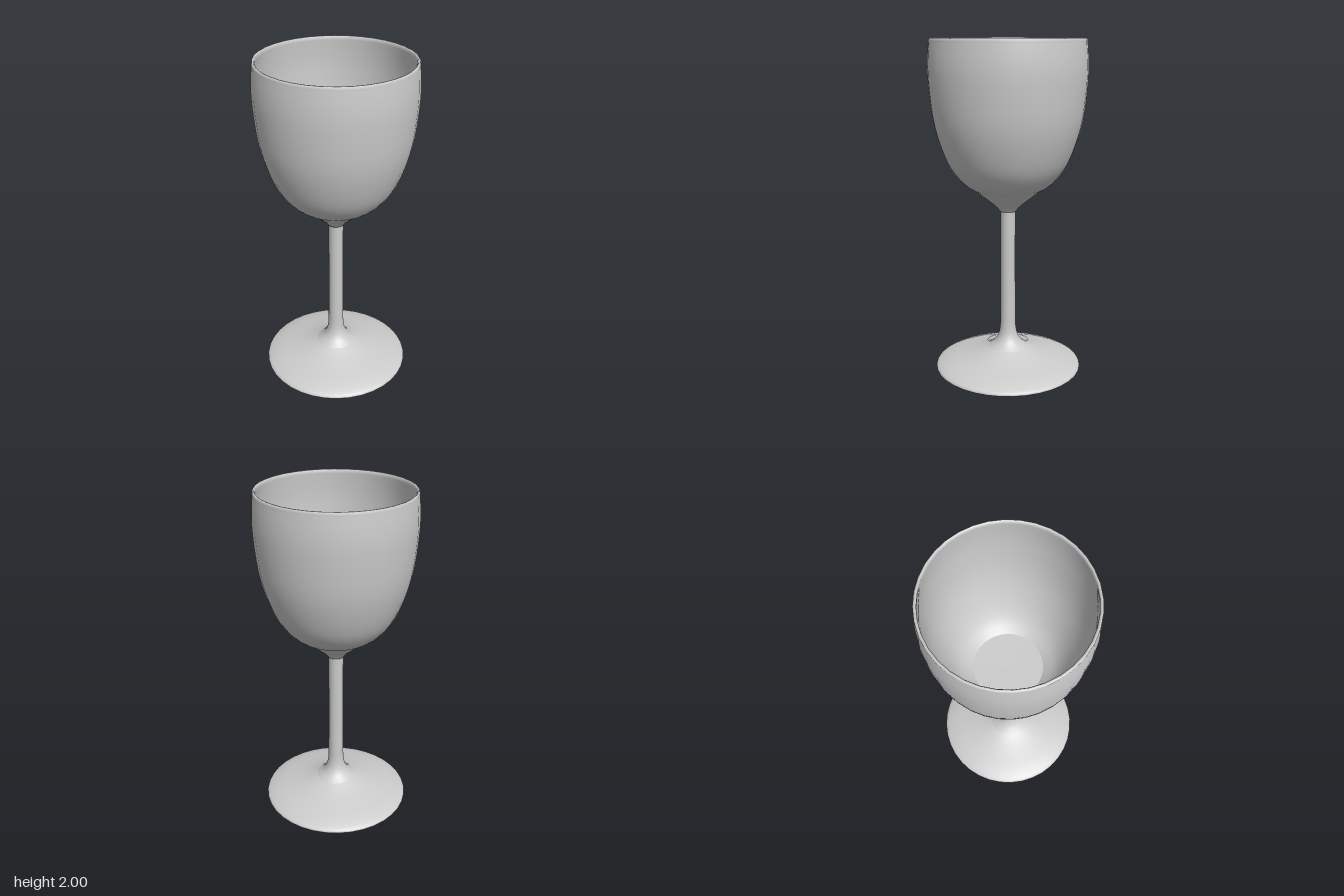
import * as THREE from 'three';

const SEGMENTS = 36;
const vec = ([x, y]) => new THREE.Vector2(x, y);

// Smooth run of profile points through a few control points
const smooth = (points, divisions) => new THREE.SplineCurve(points.map(vec)).getPoints(divisions);

// Lathe one or more profile runs; a crease is kept between runs
function addTurned(group, name, runs, material) {
  const part = new THREE.Group();
  part.name = name;
  for (const run of runs) {
    const mesh = new THREE.Mesh(new THREE.LatheGeometry(run, SEGMENTS), material);
    mesh.name = name + 'Surface';
    part.add(mesh);
  }
  group.add(part);
}

export function createModel() {
  const goblet = new THREE.Group();
  goblet.name = 'goblet';
  const material = new THREE.MeshStandardMaterial({ color: 0xcccccc, side: THREE.DoubleSide });

  // Bowl: outer wall, rounded lip, inner wall and flat inner floor
  const outer = smooth([
    [0.2, 1.135], [0.235, 1.155], [0.285, 1.2], [0.342, 1.28], [0.39, 1.395],
    [0.425, 1.52], [0.444, 1.65], [0.455, 1.8], [0.453, 1.9], [0.446, 1.98],
  ], 28);
  const lip = [[0.446, 1.98], [0.446, 1.992], [0.441, 2], [0.434, 2], [0.429, 1.992], [0.429, 1.98]].map(vec);
  const inner = smooth([
    [0.429, 1.98], [0.434, 1.9], [0.435, 1.8], [0.425, 1.65], [0.405, 1.52],
    [0.37, 1.4], [0.32, 1.285], [0.265, 1.205], [0.2, 1.155],
  ], 24);
  addTurned(goblet, 'bowl', [outer, lip, inner, [[0.2, 1.155], [0, 1.15]].map(vec)], material);

  // Stem: flares into the bowl above and the foot below
  const stem = [
    ...smooth([[0.12, 0.152], [0.085, 0.18], [0.062, 0.215], [0.05, 0.26], [0.046, 0.32]], 12),
    ...smooth([[0.044, 0.6], [0.044, 0.97], [0.05, 1.005], [0.075, 1.035], [0.13, 1.08], [0.2, 1.135]], 16),
  ];
  addTurned(goblet, 'stem', [stem], material);

  // Foot: sloping disc with a rounded edge and flat underside
  const foot = smooth([
    [0.33, 0.005], [0.4, 0.012], [0.435, 0.024], [0.442, 0.036], [0.425, 0.052],
    [0.36, 0.077], [0.26, 0.103], [0.18, 0.127], [0.12, 0.152],
  ], 28);
  addTurned(goblet, 'foot', [[[0, 0], [0.33, 0.005]].map(vec), foot], material);

  return goblet;
}
